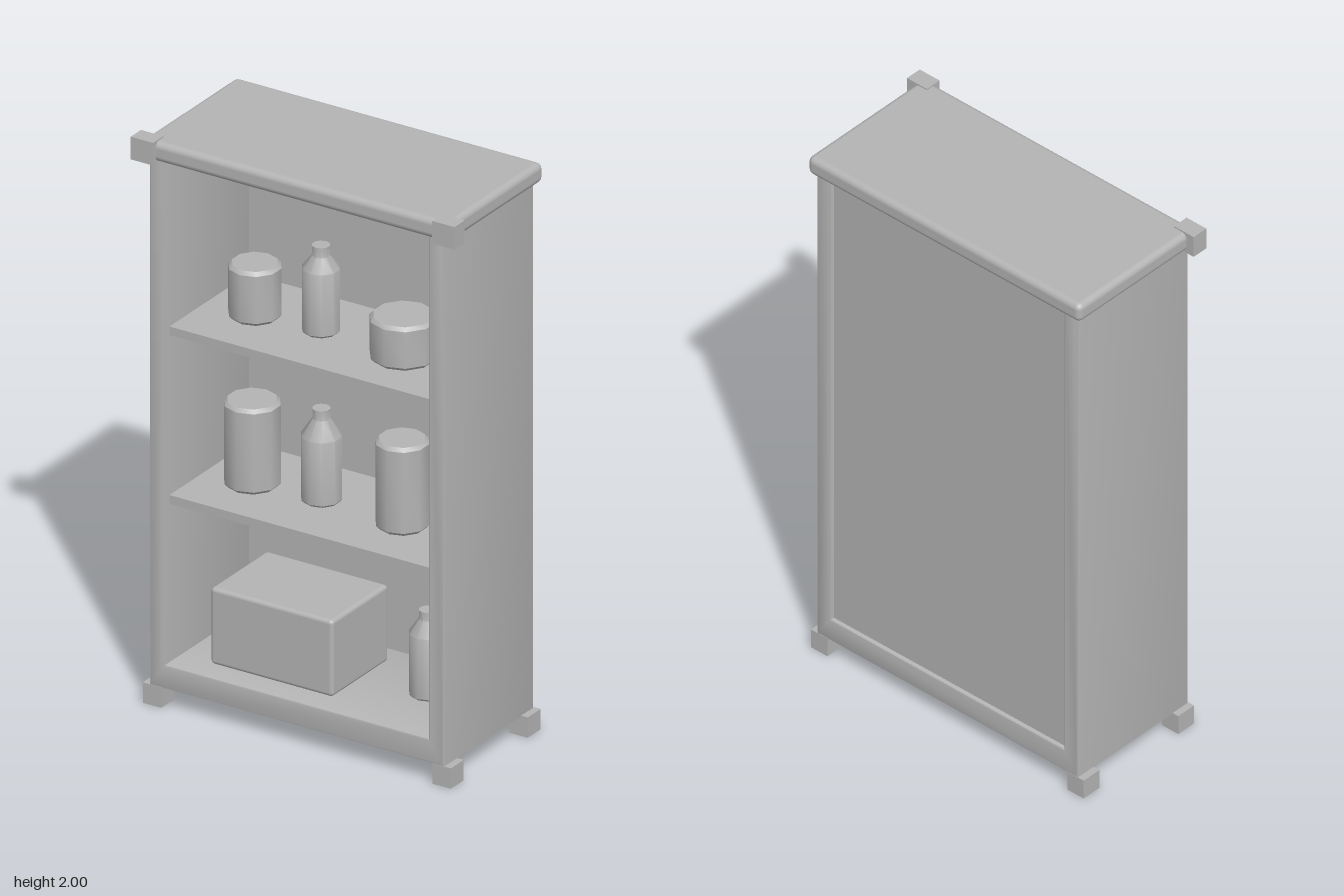
import * as THREE from 'three';
import { toCreasedNormals } from 'three/addons/utils/BufferGeometryUtils.js';
import { RoundedBoxGeometry } from 'three/addons/geometries/RoundedBoxGeometry.js';

export function createModel() {
  const model = new THREE.Group();
  model.name = 'shelfCabinet';
  const grey = new THREE.MeshStandardMaterial({ color: 0xb4b4b4 });
  grey.name = 'plain grey';

  function add(name, geometry, x = 0, y = 0, z = 0) {
    const mesh = new THREE.Mesh(geometry, grey);
    mesh.name = name;
    mesh.position.set(x, y, z);
    model.add(mesh);
    return mesh;
  }

  // Box given by its limits, optionally with rounded edges
  function box(name, x0, x1, y0, y1, z0, z1, radius = 0) {
    const size = [x1 - x0, y1 - y0, z1 - z0];
    const geometry = radius
      ? new RoundedBoxGeometry(...size, 3, radius)
      : new THREE.BoxGeometry(...size);
    return add(name, geometry, (x0 + x1) / 2, (y0 + y1) / 2, (z0 + z1) / 2);
  }

  // Turned container, standing at height y
  function turned(name, profile, sides, x, y, z) {
    const points = profile.map(([r, h]) => new THREE.Vector2(r, h));
    add(name, toCreasedNormals(new THREE.LatheGeometry(points, sides), 0.72), x, y, z);
  }

  function jar(x, y, z, r, h) {
    const b = 0.012;
    turned('jar', [[0, 0], [r - b, 0], [r, b], [r, h - b], [r - b, h], [0, h]], 10, x, y, z);
  }

  function bottle(x, y, z, r, shoulder, neck, h) {
    turned('bottle', [[0, 0], [r - 0.008, 0], [r, 0.008], [r, shoulder], [0.03, neck],
      [0.03, h], [0, h]], 10, x, y, z);
  }

  // Side walls and base in one U-shaped frame with slightly eased edges
  const b = 0.006;
  const outline = [[-0.56, 0.07], [0.56, 0.07], [0.56, 1.935], [0.5, 1.935],
    [0.5, 0.155], [-0.5, 0.155], [-0.5, 1.935], [-0.56, 1.935]];
  const frame = new THREE.ExtrudeGeometry(
    new THREE.Shape(outline.map(([x, y]) => new THREE.Vector2(x, y))),
    { depth: 0.525 - 2 * b, bevelThickness: b, bevelSize: b, bevelOffset: -b, bevelSegments: 2 });
  add('sidesAndBase', toCreasedNormals(frame, 0.5), 0, 0, -0.265 + b);

  // Recessed back, shelves and top
  box('backPanel', -0.502, 0.502, 0.15, 1.91, -0.25, -0.23);
  for (const y of [0.715, 1.31]) box('shelf', -0.502, 0.502, y, y + 0.03, -0.235, 0.235);
  box('topBoard', -0.585, 0.585, 1.925, 1.995, -0.285, 0.27, 0.022);

  // Corner blocks and feet, mirrored left and right
  for (const s of [-1, 1]) {
    const x = s * 0.5725;
    box('cornerBlock', x - 0.0425, x + 0.0425, 1.92, 2, 0.225, 0.285);
    const f = s * 0.55;
    box('frontFoot', f - 0.035, f + 0.035, 0, 0.072, 0.185, 0.26);
    box('backFoot', f - 0.035, f + 0.035, 0, 0.072, -0.265, -0.19);
  }

  // Top shelf contents
  jar(-0.315, 1.34, 0.02, 0.088, 0.19);
  bottle(-0.077, 1.34, 0, 0.063, 0.225, 0.27, 0.305);
  jar(0.25, 1.34, 0.02, 0.112, 0.153);

  // Middle shelf contents
  jar(-0.325, 0.745, 0.02, 0.094, 0.3);
  bottle(-0.075, 0.745, 0, 0.068, 0.23, 0.29, 0.325);
  jar(0.245, 0.745, 0.02, 0.089, 0.31);

  // Bottom contents
  box('storageBox', -0.385, 0.08, 0.155, 0.425, -0.155, 0.175, 0.014);
  bottle(0.32, 0.155, -0.015, 0.063, 0.22, 0.27, 0.3);

  return model;
}
